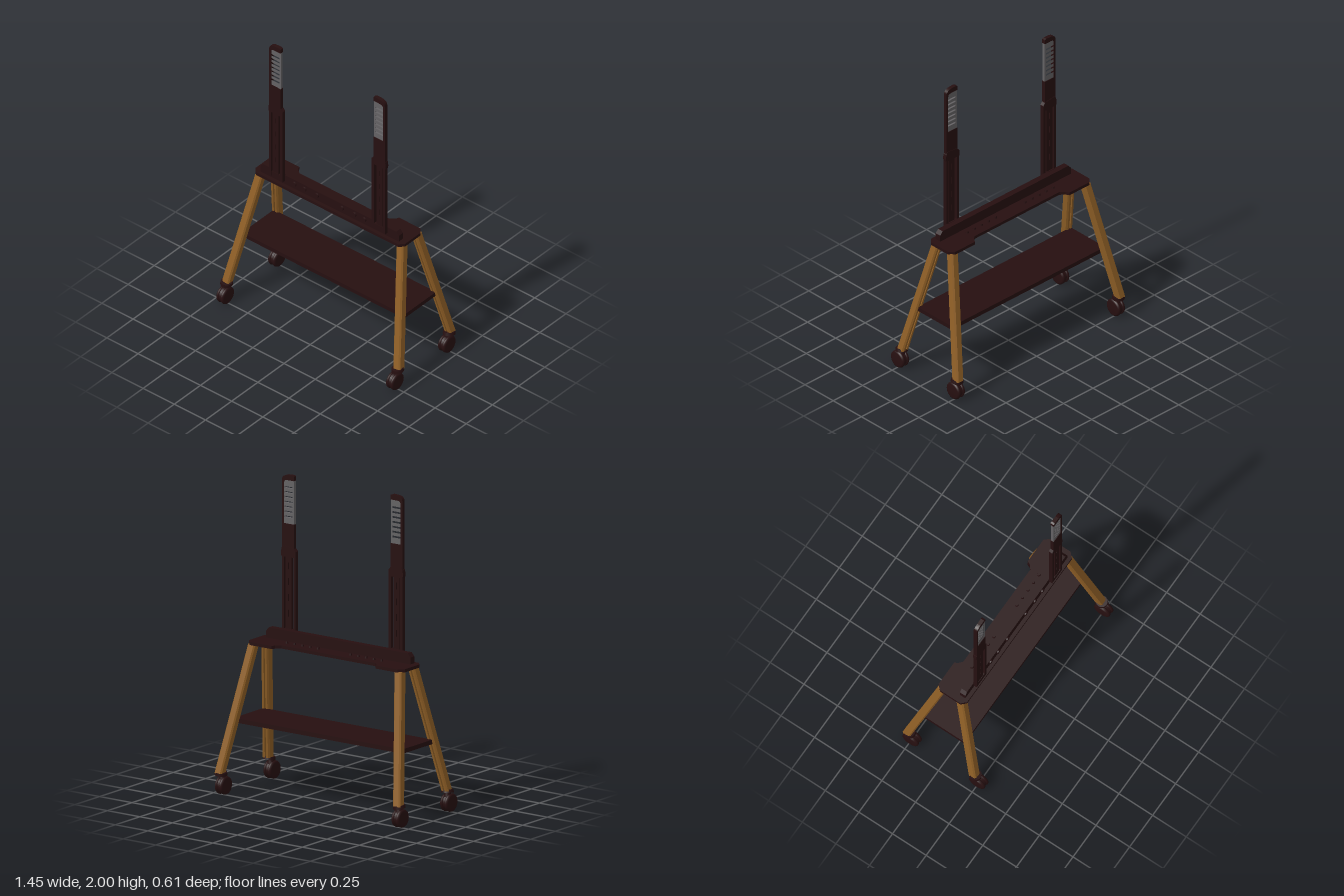
import * as THREE from 'three';

const dark = new THREE.MeshStandardMaterial({ color: 0x260f10 });
dark.name = 'darkMetal';
const wood = new THREE.MeshStandardMaterial({ color: 0x8f5f26 });
wood.name = 'wood';
const grey = new THREE.MeshStandardMaterial({ color: 0x646264 });
grey.name = 'greyPanel';

function add(parent, name, geometry, material, x = 0, y = 0, z = 0) {
  const mesh = new THREE.Mesh(geometry, material);
  mesh.name = name;
  mesh.position.set(x, y, z);
  parent.add(mesh);
  return mesh;
}

const polygon = (points) => new THREE.Shape(points.map(([x, y]) => new THREE.Vector2(x, y)));
const extrude = (shape, depth) =>
  new THREE.ExtrudeGeometry(shape, { depth, bevelEnabled: false, curveSegments: 8 });

// Rectangle with corners cut at 45 degrees
const cutRect = (x0, y0, x1, y1, c) => polygon([
  [x0 + c, y0], [x1 - c, y0], [x1, y0 + c], [x1, y1 - c],
  [x1 - c, y1], [x0 + c, y1], [x0, y1 - c], [x0, y0 + c]]);

// Splayed leg: chamfered section with a groove on the face towards the other leg
function makeLeg(parent, sx, sz) {
  const top = new THREE.Vector3(sx * 0.563, 0.94, sz > 0 ? 0.043 : -0.09);
  const foot = new THREE.Vector3(sx * 0.687, 0.14, sz > 0 ? 0.222 : -0.268);
  const a = 0.028, c = 0.009, g = 0.005;
  const section = polygon([
    [-a + c, -a], [a - c, -a], [a, -a + c], [a, a - c], [a - c, a],
    [g, a], [g, a - 0.012], [-g, a - 0.012], [-g, a],
    [-a + c, a], [-a, a - c], [-a, -a + c]].map(([x, y]) => [x, y * sz]));
  const geo = extrude(section, 1);
  geo.applyMatrix4(new THREE.Matrix4().makeBasis(
    new THREE.Vector3(1, 0, 0), new THREE.Vector3(0, 0, -1), top.clone().sub(foot)));
  add(parent, 'leg', geo, wood, foot.x, foot.y, foot.z);
}

// Caster: socket, stem, hood and a pair of wheels
function makeCaster(parent, sx, sz) {
  const caster = new THREE.Group();
  caster.name = 'caster';
  caster.position.set(sx * 0.68, 0, sz > 0 ? 0.252 : -0.243);
  const socketZ = sz > 0 ? -0.02 : -0.017;
  const socket = add(caster, 'casterSocket', new THREE.CylinderGeometry(0.037, 0.04, 0.02, 20), dark, sx * 0.005, 0.136, socketZ);
  socket.rotation.x = sz * 0.12;
  socket.rotation.z = sx * 0.1;
  add(caster, 'casterStem', new THREE.CylinderGeometry(0.018, 0.024, 0.035, 16), dark, 0, 0.115, socketZ * 0.6);
  const profile = [[0, -0.013], [0.045, -0.013], [0.056, -0.008], [0.058, 0],
    [0.055, 0.008], [0.045, 0.013], [0, 0.014]].map(([r, y]) => new THREE.Vector2(r, y));
  for (const side of [-1, 1]) {
    const wheel = add(caster, 'wheel', new THREE.LatheGeometry(profile, 28), dark, side * 0.017, 0.058, 0);
    wheel.rotation.z = -side * Math.PI / 2;
  }
  const hood = add(caster, 'wheelHood', new THREE.CylinderGeometry(0.052, 0.052, 0.03, 24), dark, 0, 0.06, 0);
  hood.rotation.z = Math.PI / 2;
  parent.add(caster);
}

// Two-stage bracket with an open lower channel and a slotted panel on top
function makeUpright(parent, s) {
  const upright = new THREE.Group();
  upright.name = 'upright';
  const bar = (name, x0, x1, y0, y1, z0, z1) => add(upright, name,
    new THREE.BoxGeometry(x1 - x0, y1 - y0, z1 - z0), dark,
    s * (x0 + x1) / 2, (y0 + y1) / 2, (z0 + z1) / 2);

  // Lower channel
  bar('innerRail', 0.358, 0.375, 0.99, 1.5, 0.065, 0.09);
  bar('outerRail', 0.447, 0.464, 0.99, 1.5, 0.065, 0.09);
  const core = cutRect(0.391, 0.99, 0.439, 1.5, 0.003);
  for (let i = 0; i < 4; i++) {
    const y = 1.1 + i * 0.1;
    core.holes.push(new THREE.Path([[0.412, y], [0.418, y], [0.418, y + 0.045], [0.412, y + 0.045]]
      .map(([px, py]) => new THREE.Vector2(px, py))));
  }
  const coreMesh = add(upright, 'slidingCore', extrude(core, 0.015), dark, 0, 0, 0.07);
  if (s < 0) {
    // Mirror about the upright's own middle line
    coreMesh.position.x = -0.83;
  }
  bar('uprightFoot', 0.358, 0.464, 0.98, 1.025, 0.062, 0.088);
  add(upright, 'collar', extrude(polygon([[0.357, 1.48], [0.466, 1.48], [0.47, 1.5], [0.466, 1.53],
    [0.456, 1.55], [0.374, 1.54], [0.357, 1.52]].map(([x, y]) => [s * x, y])), 0.026), dark, 0, 0, 0.064);

  // Upper arm: column, outer edge strip and rounded cap
  const arm = new THREE.Shape();
  arm.moveTo(s * 0.372, 1.5);
  arm.lineTo(s * 0.463, 1.5);
  arm.lineTo(s * 0.463, 1.965);
  arm.quadraticCurveTo(s * 0.463, 1.992, s * 0.425, 1.998);
  arm.lineTo(s * 0.385, 2.0);
  arm.lineTo(s * 0.372, 1.995);
  arm.lineTo(s * 0.372, 1.966);
  arm.lineTo(s * 0.425, 1.966);
  arm.quadraticCurveTo(s * 0.449, 1.966, s * 0.449, 1.945);
  arm.lineTo(s * 0.449, 1.69);
  arm.lineTo(s * 0.372, 1.69);
  add(upright, 'upperArm', extrude(arm, 0.024), dark, 0, 0, 0.066);

  // Slotted panel
  const panel = polygon([[0.373, 1.69], [0.45, 1.69], [0.45, 1.955], [0.44, 1.968], [0.373, 1.968]]
    .map(([x, y]) => [s * x, y]));
  for (let i = 0; i < 7; i++) {
    const y = 1.728 + i * 0.031;
    panel.holes.push(new THREE.Path([[0.385, y], [0.447, y], [0.447, y + 0.011], [0.385, y + 0.011]]
      .map(([px, py]) => new THREE.Vector2(s * px, py))));
  }
  add(upright, 'slottedPanel', extrude(panel, 0.018), grey, 0, 0, 0.069);
  parent.add(upright);
}

export function createModel() {
  const model = new THREE.Group();
  model.name = 'rollingStand';

  // Legs and casters
  for (const sx of [-1, 1]) {
    for (const sz of [-1, 1]) {
      makeLeg(model, sx, sz);
      makeCaster(model, sx, sz);
    }
    makeUpright(model, sx);
  }

  // Shelf
  add(model, 'shelf', new THREE.BoxGeometry(1.3, 0.028, 0.305), dark, 0, 0.461, -0.025);

  // Top plate with a back edge set in between the end tabs (shape y is -z)
  const half = [[0.36, 0.075], [0.39, 0.1], [0.4, 0.122], [0.57, 0.122], [0.6, 0.09], [0.6, -0.06], [0.57, -0.09]];
  const outline = [...half, ...half.map(([x, y]) => [-x, y]).reverse()];
  const plate = extrude(polygon(outline), 0.02).rotateX(-Math.PI / 2);
  add(model, 'topPlate', plate, dark, 0, 0.937, 0);
  add(model, 'underRib', new THREE.BoxGeometry(0.75, 0.012, 0.1), dark, 0, 0.938, 0.0);

  // Front beam with cut upper corners
  const beam = polygon([[-0.555, 0.95], [0.555, 0.95], [0.555, 1.0], [0.535, 1.024], [-0.535, 1.024], [-0.555, 1.0]]);
  add(model, 'beam', extrude(beam, 0.04), dark, 0, 0, 0.026);

  // Bolts on the beam and on the plate
  for (const x of [0.1, 0.2, 0.28]) {
    for (const s of [-1, 1]) {
      const bolt = add(model, 'beamBolt', new THREE.CylinderGeometry(0.014, 0.016, 0.01, 16), dark, s * x, 0.995, 0.07);
      bolt.rotation.x = Math.PI / 2;
    }
  }
  for (let i = 0; i < 5; i++) {
    for (const s of [-1, 1]) {
      add(model, 'plateBolt', new THREE.CylinderGeometry(0.008, 0.01, 0.014, 12), dark, s * (0.125 + i * 0.06), 0.963, -0.015);
    }
  }
  return model;
}
